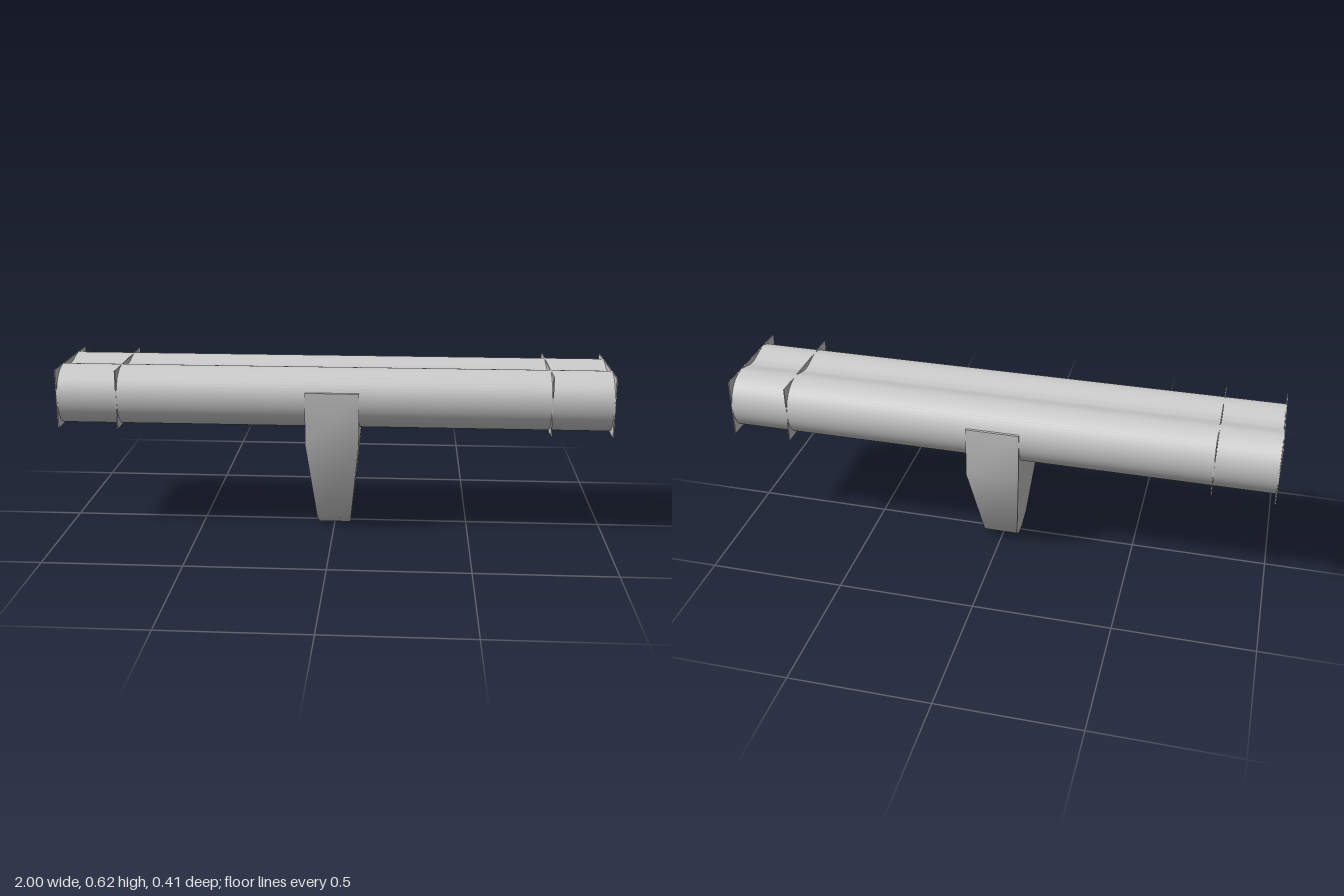
import * as THREE from 'three';
import { toCreasedNormals } from 'three/addons/utils/BufferGeometryUtils.js';

export function createModel() {
  const model = new THREE.Group();
  model.name = 'beamOnPylon';
  const grey = new THREE.MeshStandardMaterial({ color: 0xcccccc });
  grey.name = 'light grey';

  const add = (name, geometry, x = 0, y = 0) => {
    const mesh = new THREE.Mesh(geometry, grey);
    mesh.name = name;
    mesh.position.set(x, y, 0);
    model.add(mesh);
  };

  // Beam: rounded section with a shallow hollow along the top, run along x
  const top = 0.62, bottom = 0.406, mid = 0.515, side = 0.204, ridge = 0.1, valley = 0.602;
  const section = new THREE.Shape();
  section.moveTo(0, valley);
  section.bezierCurveTo(0.04, valley, 0.06, top, ridge, top);
  section.bezierCurveTo(0.157, top, side, 0.573, side, mid);
  section.bezierCurveTo(side, 0.455, 0.165, bottom, 0.11, bottom);
  section.lineTo(-0.11, bottom);
  section.bezierCurveTo(-0.165, bottom, -side, 0.455, -side, mid);
  section.bezierCurveTo(-side, 0.573, -0.157, top, -ridge, top);
  section.bezierCurveTo(-0.06, top, -0.04, valley, 0, valley);
  const length = 1.996;
  const beam = new THREE.ExtrudeGeometry(section, { depth: length, bevelEnabled: false, curveSegments: 14 });
  beam.translate(0, 0, -length / 2).rotateY(Math.PI / 2);
  add('beam', toCreasedNormals(beam, 0.7));

  // Thin rectangular plates at the ends and just inboard of them
  const plate = new THREE.BoxGeometry(0.004, 0.215, 0.408);
  for (const s of [-1, 1]) {
    add(s > 0 ? 'leftEndPlate' : 'rightEndPlate', plate, s * 0.998, 0.5125);
    add(s > 0 ? 'leftRib' : 'rightRib', plate, s * 0.78, 0.5125);
  }

  // Pylon: a box whose rows follow [height, half width, half depth]
  const rows = [[0, 0.06, 0.027], [0.036, 0.064, 0.08], [0.36, 0.097, 0.207], [0.55, 0.097, 0.207]];
  const pylon = new THREE.BoxGeometry(2, 3, 2, 1, 3, 1);
  const p = pylon.attributes.position;
  for (let i = 0; i < p.count; i++) {
    const [y, w, d] = rows[Math.round(p.getY(i) + 1.5)];
    p.setXYZ(i, p.getX(i) * w, y, p.getZ(i) * d);
  }
  add('pylon', toCreasedNormals(pylon, 0.8));

  return model;
}
